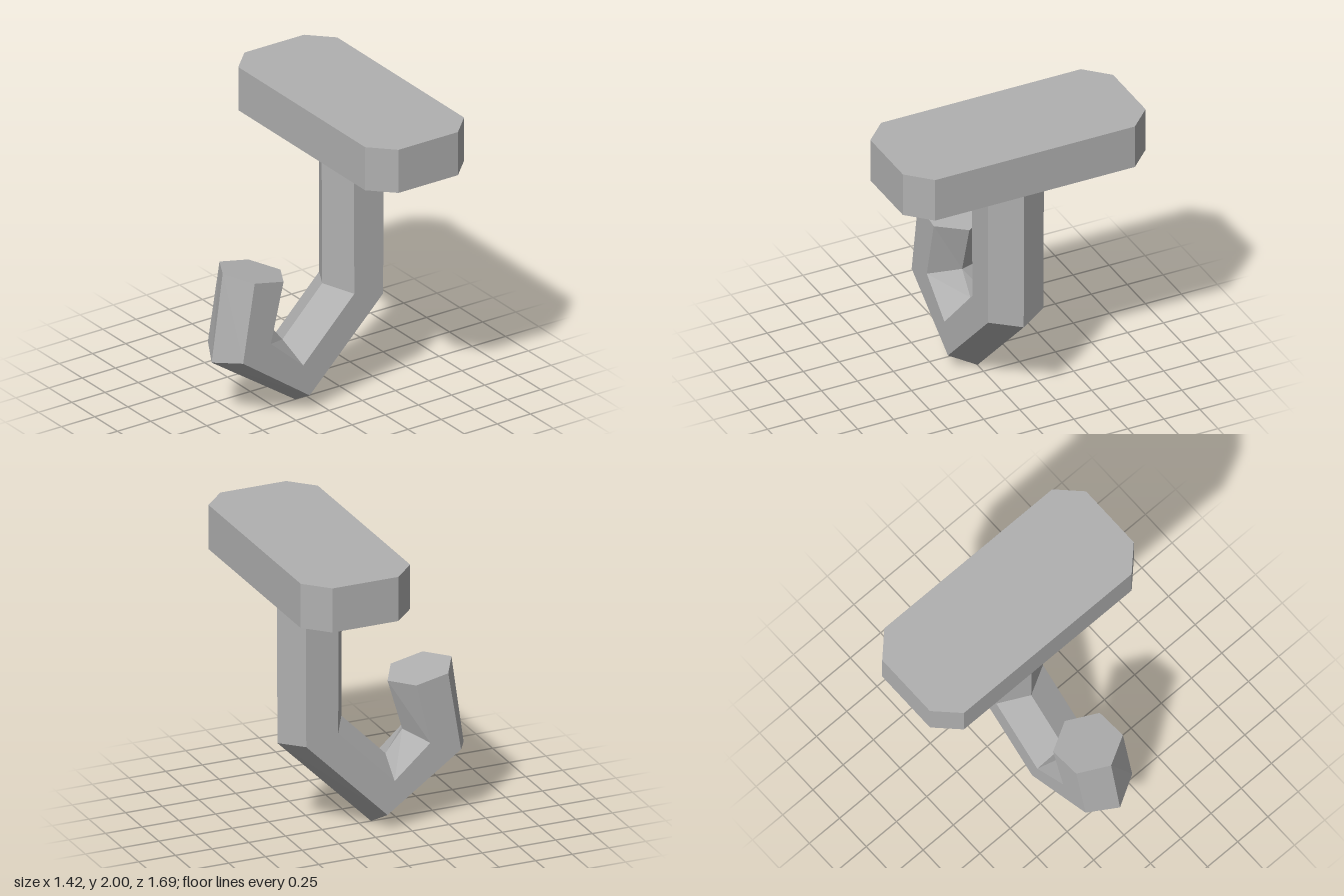
import * as THREE from 'three';

// Hook stations: outer corner x, y, then inner corner x, y (both at z = 0)
const STATIONS = [
  [0.56, 1.71, 0.115, 1.71],
  [0.555, 0.635, 0.12, 0.745],
  [-0.083, 0, -0.18, 0.44],
  [-0.713, 0.425, -0.295, 0.585],
  [-0.63, 1.015, -0.195, 0.925],
];
const HALF_DEPTH = 0.193;

// Hexagonal cross-section: fraction from outer to inner corner, side in z
const HEXAGON = [[0, 0], [0.25, 1], [0.75, 1], [1, 0], [0.75, -1], [0.25, -1]];

function hookGeometry() {
  const rings = STATIONS.map(([ox, oy, ix, iy]) => HEXAGON.map(([t, s]) =>
    [ox + (ix - ox) * t, oy + (iy - oy) * t, s * HALF_DEPTH]));
  const positions = [];
  const triangle = (a, b, c) => positions.push(...a, ...b, ...c);

  // Side walls between neighbouring rings
  for (let i = 0; i < rings.length - 1; i++) {
    const a = rings[i], b = rings[i + 1];
    for (let j = 0; j < 6; j++) {
      const k = (j + 1) % 6;
      triangle(a[j], a[k], b[j]);
      triangle(a[k], b[k], b[j]);
    }
  }
  // Flat cap on the free tip
  const tip = rings[rings.length - 1];
  for (let j = 1; j < 5; j++) triangle(tip[0], tip[j], tip[j + 1]);

  const geometry = new THREE.BufferGeometry();
  geometry.setAttribute('position', new THREE.Float32BufferAttribute(positions, 3));
  geometry.computeVertexNormals();
  return geometry;
}

// Rectangular plate with chamfered corners, lying flat
function plateGeometry(width, length, height, cut) {
  const w = width / 2, l = length / 2;
  const shape = new THREE.Shape([
    [w, l - cut], [w - cut, l], [cut - w, l], [-w, l - cut],
    [-w, cut - l], [cut - w, -l], [w - cut, -l], [w, cut - l],
  ].map(([x, y]) => new THREE.Vector2(x, y)));
  const geometry = new THREE.ExtrudeGeometry(shape, { depth: height, bevelEnabled: false });
  return geometry.rotateX(-Math.PI / 2);
}

export function createModel() {
  const model = new THREE.Group();
  model.name = 'hookWithHandle';

  const grey = new THREE.MeshStandardMaterial({ color: 0xb0b0b0, flatShading: true });
  grey.name = 'grey metal';

  // Bent hexagonal bar
  const hook = new THREE.Mesh(hookGeometry(), grey);
  hook.name = 'hook';
  model.add(hook);

  // Grip across the top of the shank
  const handle = new THREE.Mesh(plateGeometry(0.746, 1.686, 0.297, 0.149), grey);
  handle.name = 'handle';
  handle.position.set(0.338, 1.703, 0);
  model.add(handle);

  return model;
}
